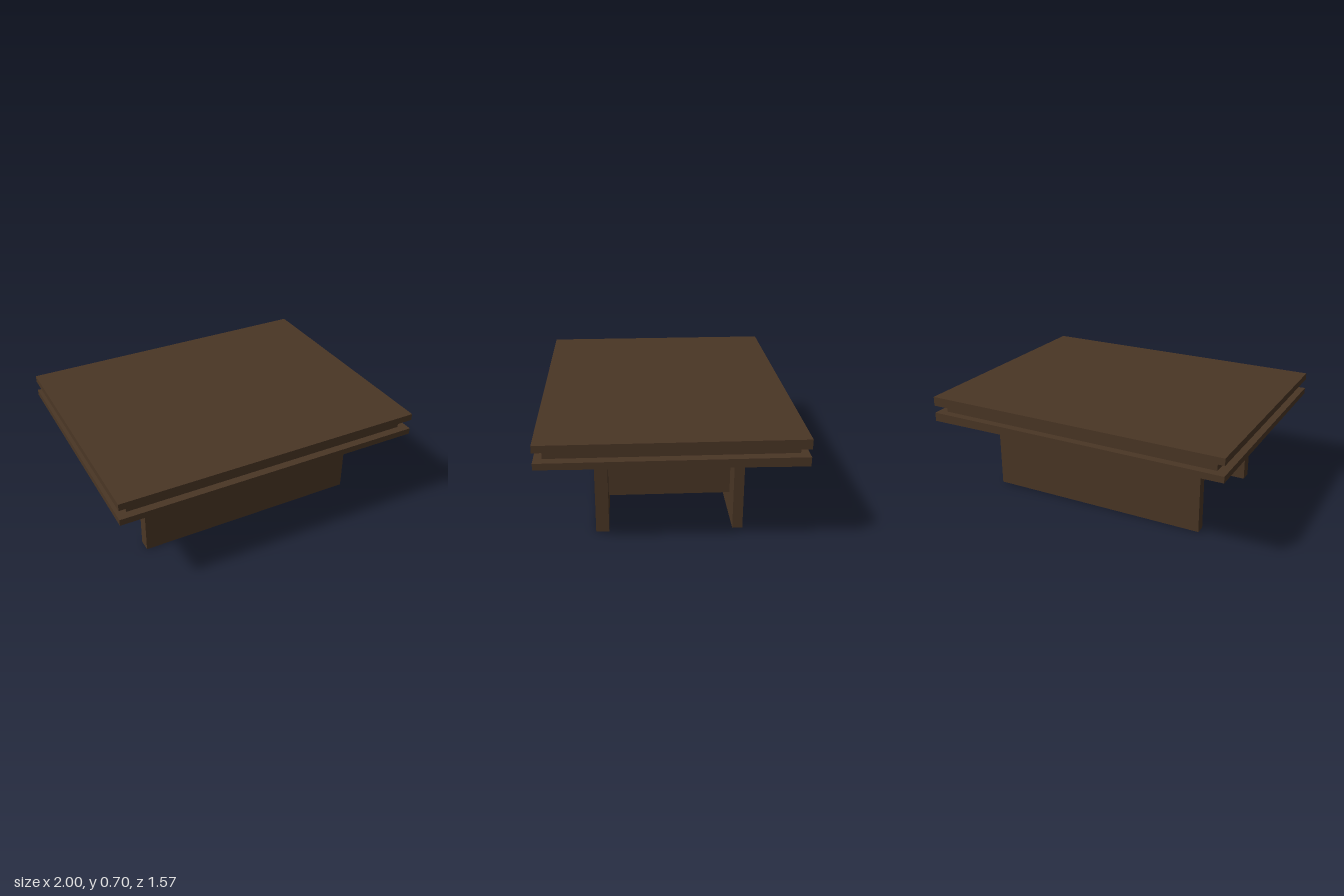
import * as THREE from 'three';

const wood = new THREE.MeshStandardMaterial({ color: 0x4a3625 });
wood.name = 'dark wood';

// Closed rectangular stack: each ring is [halfX, halfZ, y, drop of the back +x corner]
function stackedSlab(rings) {
  const corners = [[-1, 1], [1, 1], [1, -1], [-1, -1]];
  const positions = [];
  for (const [hx, hz, y, drop = 0] of rings) {
    corners.forEach(([sx, sz], i) => positions.push(sx * hx, y - (i === 2 ? drop : 0), sz * hz));
  }
  const index = [0, 1, 2, 0, 2, 3];
  for (let r = 0; r < rings.length - 1; r++) {
    for (let i = 0; i < 4; i++) {
      const a = r * 4 + i, b = r * 4 + (i + 1) % 4;
      index.push(a + 4, b + 4, b, a + 4, b, a);
    }
  }
  const e = (rings.length - 1) * 4;
  index.push(e, e + 3, e + 1, e + 1, e + 3, e + 2);
  const indexed = new THREE.BufferGeometry();
  indexed.setAttribute('position', new THREE.Float32BufferAttribute(positions, 3));
  indexed.setIndex(index);
  const geometry = indexed.toNonIndexed();
  geometry.computeVertexNormals();
  return geometry;
}

export function createModel() {
  const table = new THREE.Group();
  table.name = 'coffeeTable';
  const add = (name, geometry, x = 0, y = 0, z = 0) => {
    const mesh = new THREE.Mesh(geometry, wood);
    mesh.name = name;
    mesh.position.set(x, y, z);
    table.add(mesh);
  };

  // Double top with a recessed groove running all the way round
  add('tableTop', stackedSlab([
    [1, 0.785, 0.704],
    [1, 0.785, 0.66, 0.017],
    [0.94, 0.735, 0.635],
    [0.94, 0.735, 0.595],
    [1, 0.785, 0.595],
    [1, 0.785, 0.555, 0.018],
  ]));

  // Long panel legs at the front and back
  const legs = [['frontLeg', 0.375, 0.455], ['backLeg', -0.45, -0.387]];
  for (const [name, z0, z1] of legs) {
    add(name, new THREE.BoxGeometry(1.48, 0.56, z1 - z0), 0.01, 0.28, (z0 + z1) / 2);
  }

  // Wedge-shaped cross panels, tapering to their lower edge
  for (const [name, s] of [['leftCrossPanel', 1], ['rightCrossPanel', -1]]) {
    const wedge = new THREE.Shape([
      new THREE.Vector2(s * 0.58, 0.16),
      new THREE.Vector2(s * 0.58, 0.56),
      new THREE.Vector2(s * 0.495, 0.56),
    ]);
    add(name, new THREE.ExtrudeGeometry(wedge, { depth: 0.77, bevelEnabled: false }), 0, 0, -0.39);
  }
  return table;
}
